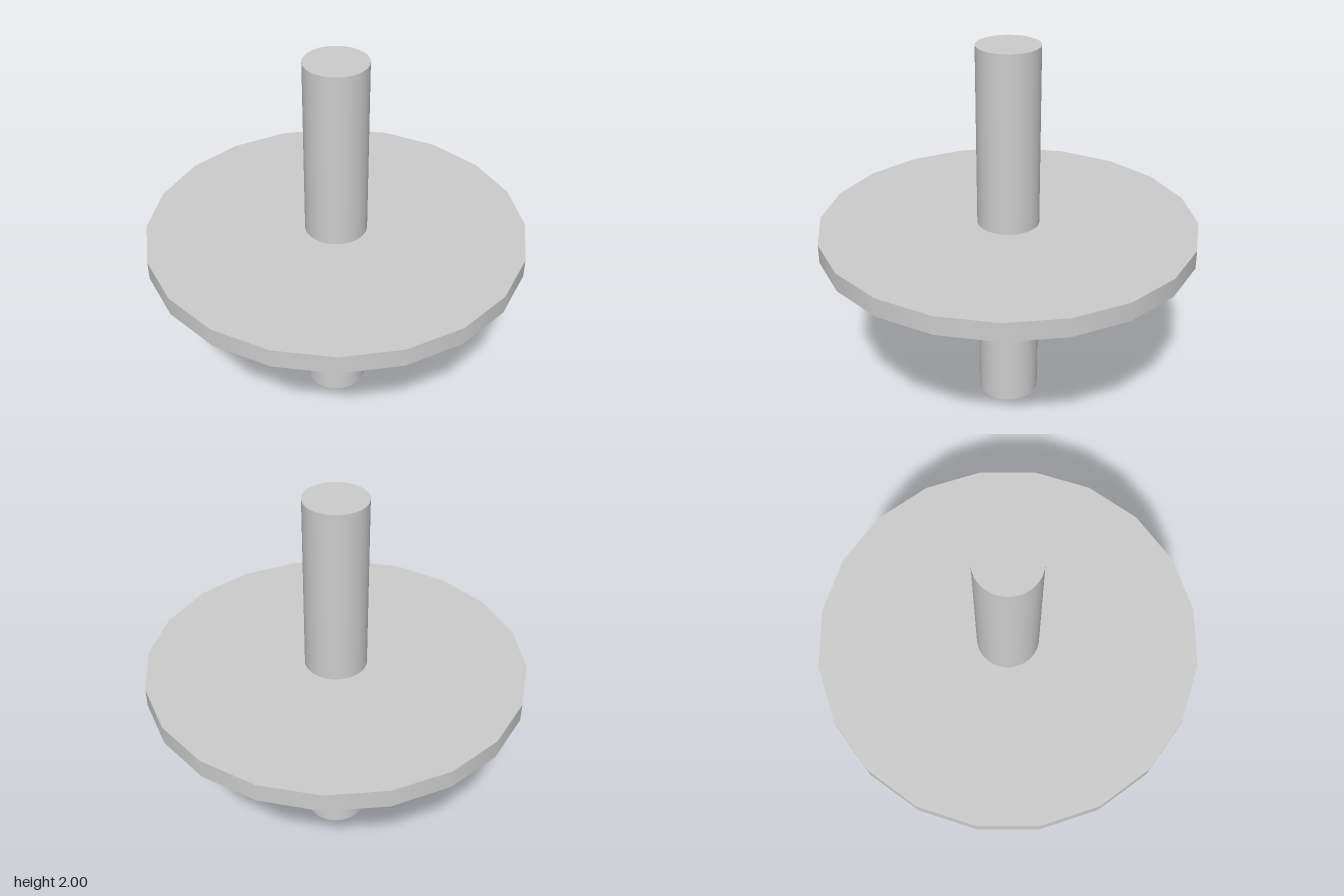
import * as THREE from 'three';

export function createModel() {
  const group = new THREE.Group();
  const material = new THREE.MeshStandardMaterial({ color: 0xcccccc });

  const addCylinder = (name, radius, height, sides, y) => {
    const mesh = new THREE.Mesh(new THREE.CylinderGeometry(radius, radius, height, sides), material);
    mesh.name = name;
    mesh.position.y = y;
    group.add(mesh);
  };

  // Round shaft running the full height
  addCylinder('shaft', 0.164, 2, 48, 1);
  // Thin twenty-sided disc around the middle of the shaft
  addCylinder('disc', 1, 0.1, 20, 0.994);

  return group;
}
